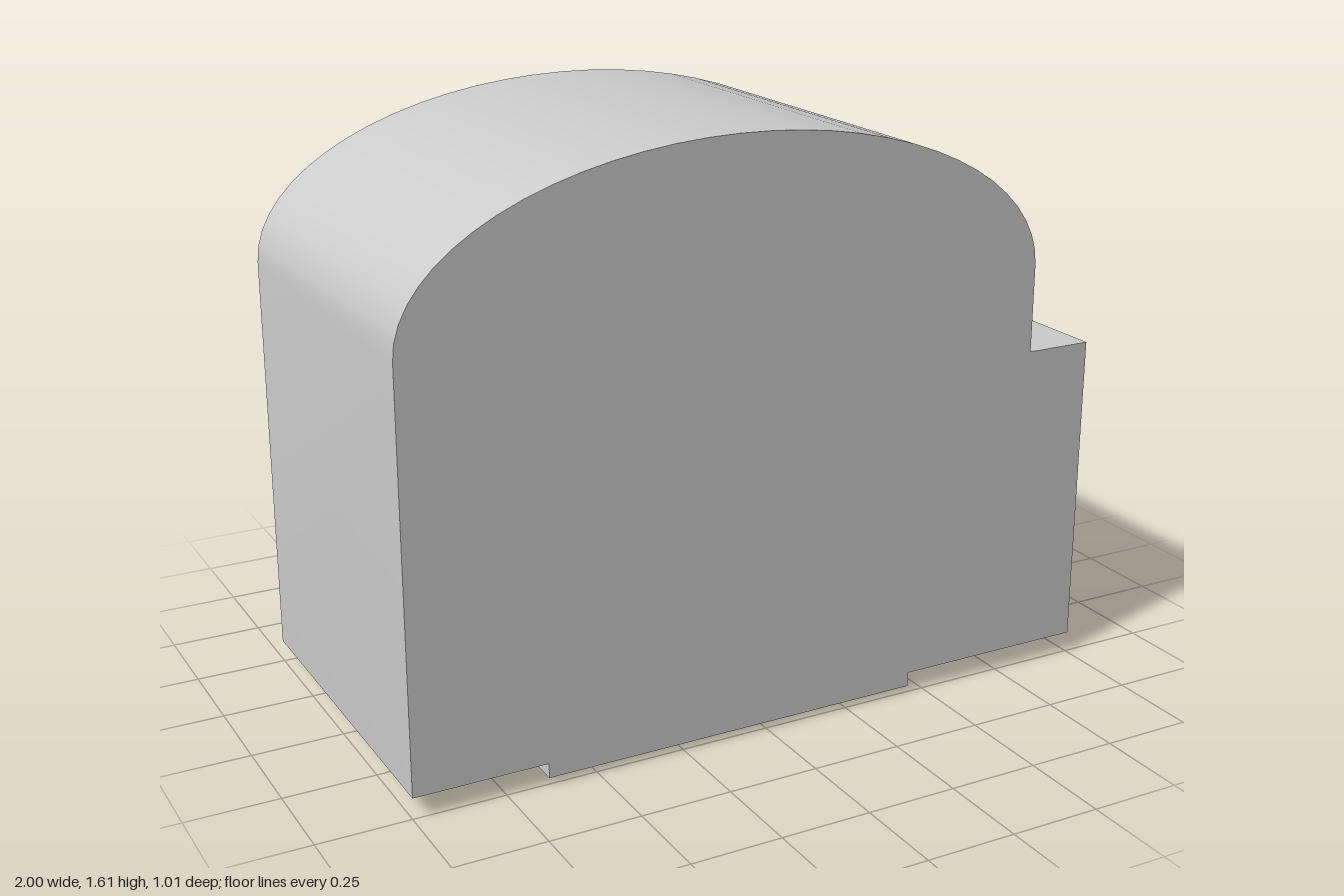
import * as THREE from 'three';
import { toCreasedNormals } from 'three/addons/utils/BufferGeometryUtils.js';

const material = new THREE.MeshStandardMaterial({ color: 0xcccccc, side: THREE.DoubleSide });
const DEPTH = 0.505; // half depth of the housing
const FLOOR = 0.06;
const CREASE = Math.PI / 6;

function addMesh(parent, name, geometry) {
  const mesh = new THREE.Mesh(geometry, material);
  mesh.name = name;
  parent.add(mesh);
  return mesh;
}

// Thin surface through a list of rows of [x, y, z] points
function sheet(rows) {
  const geometry = new THREE.PlaneGeometry(1, 1, rows[0].length - 1, rows.length - 1);
  rows.flat().forEach((p, i) => geometry.attributes.position.setXYZ(i, ...p));
  return toCreasedNormals(geometry, CREASE);
}

// Outline points carried from the front of the housing to its back
function wall(points) {
  return sheet([DEPTH, -DEPTH].map((z) => points.map(([x, y]) => [x, y, z])));
}

// Elbow pipe: rises from the floor, turns at a mitre and runs out to the back
function elbowPipe(name, z, y) {
  const x = 0.893, r = 0.073, sides = 32;
  const pipe = new THREE.Group();
  pipe.name = name;
  const ring = (place) => Array.from({ length: sides + 1 }, (_, i) => {
    const a = (i / sides) * Math.PI * 2;
    return place(x + r * Math.cos(a), r * Math.sin(a));
  });
  const bottom = ring((px, s) => [px, 0, z + s]);
  const mitre = ring((px, s) => [px, y + s, z + s]);
  const end = ring((px, s) => [px, y + s, -0.3]);
  addMesh(pipe, 'verticalPipe', sheet([bottom, mitre]));
  addMesh(pipe, 'horizontalPipe', sheet([mitre, end]));

  // Widened socket with a rim, a bore and a tapered neck
  const profile = [
    [0.073, 0.27], [0.073, 0], [0.088, 0], [0.088, 0.2],
    [0.08, 0.22], [0.08, 0.26], [0.073, 0.27],
  ].map(([px, py]) => new THREE.Vector2(px, py));
  const socket = addMesh(pipe, 'socket', toCreasedNormals(new THREE.LatheGeometry(profile, sides), CREASE));
  socket.rotation.x = Math.PI / 2;
  socket.position.set(x, y, -DEPTH);
  return pipe;
}

export function createModel() {
  const model = new THREE.Group();
  model.name = 'archedHousing';

  // Arched roof, running straight down into the side walls
  const roof = [[-1, FLOOR]];
  const segments = 32;
  for (let i = 0; i <= segments; i++) {
    const a = Math.PI * (1 - i / segments);
    roof.push([-0.095 + 0.905 * Math.cos(a), 1.17 + 0.44 * Math.sin(a)]);
  }
  roof.push([0.81, 0.93]);
  // Side box and stepped floor
  const box = [[0.81, 0.93], [1, 0.93], [1, FLOOR]];
  const floor = [[1, FLOOR], [0.45, FLOOR], [0.45, 0.02], [-0.635, 0.02], [-0.635, FLOOR], [-1, FLOOR]];

  addMesh(model, 'archedRoof', wall(roof));
  addMesh(model, 'sideBox', wall(box));
  addMesh(model, 'steppedFloor', wall(floor));

  // Front panel closes the outline; the back stays open
  const outline = [...roof, ...box.slice(1), ...floor.slice(1, -1)];
  const shape = new THREE.Shape(outline.map(([x, y]) => new THREE.Vector2(x, y)));
  addMesh(model, 'frontPanel', new THREE.ShapeGeometry(shape)).position.z = DEPTH;

  model.add(elbowPipe('upperPipe', 0.213, 0.805));
  model.add(elbowPipe('lowerPipe', -0.015, 0.575));
  return model;
}
